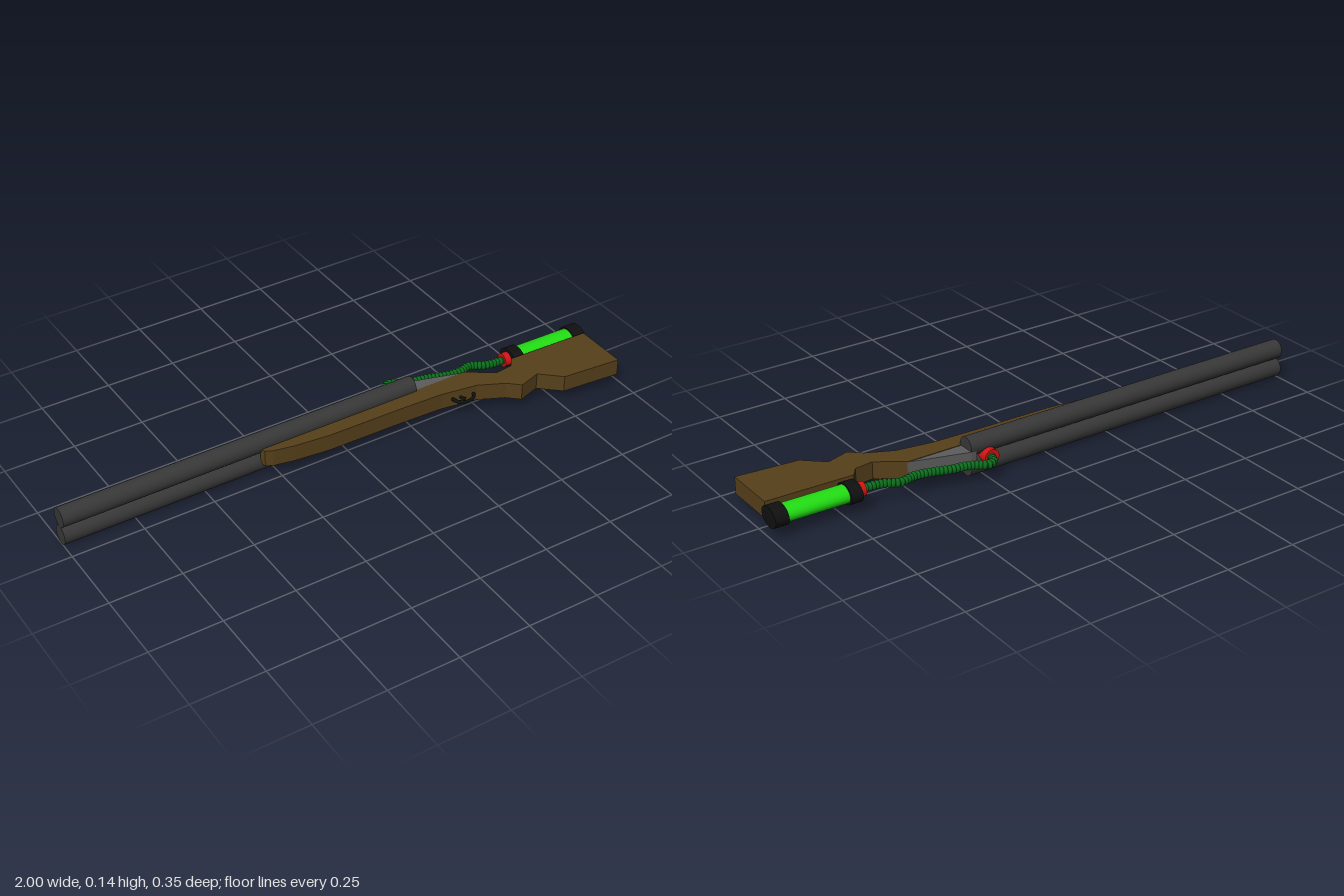
import * as THREE from 'three';

const MID = 0.068; // height of the model's plane of symmetry
const paint = (color, flatShading = false) => new THREE.MeshStandardMaterial({ color, flatShading });
const wood = paint(0x57401a, true);
const steel = paint(0x383838);
const receiverSteel = paint(0x5c5c5c, true);
const black = paint(0x101010);
const red = paint(0xd01414);
const green = paint(0x22dd14);
const hoseGreen = paint(0x0c6a1c);

export function createModel() {
  const model = new THREE.Group();

  function add(name, geometry, material, parent = model) {
    const mesh = new THREE.Mesh(geometry, material);
    mesh.name = name;
    parent.add(mesh);
    return mesh;
  }

  // Flat plate: outline in (x, z), thickness centred on MID along y
  function plate(points, thickness) {
    const shape = new THREE.Shape(points.map(([x, z]) => new THREE.Vector2(x, z)));
    return new THREE.ExtrudeGeometry(shape, { depth: thickness, bevelEnabled: false })
      .rotateX(Math.PI / 2)
      .translate(0, MID + thickness / 2, 0);
  }

  // Elliptical cylinder along x
  function rod(x0, x1, ry, rz, y, z) {
    return new THREE.CylinderGeometry(1, 1, x1 - x0, 32)
      .rotateZ(Math.PI / 2)
      .scale(1, ry, rz)
      .translate((x0 + x1) / 2, y, z);
  }

  // Wooden stock, from fore-end to butt
  add('stock', plate([
    [-0.30, -0.05], [-0.295, -0.03], [-0.27, -0.018], [-0.2, -0.004], [-0.075, 0.009],
    [0.2, 0.012], [0.36, 0.017], [0.49, 0.037], [0.58, 0.08], [0.62, 0.117],
    [0.7, 0.092], [0.77, 0.155], [0.985, 0.173], [0.985, -0.02], [0.68, -0.028],
    [0.655, 0.005], [0.59, 0.013], [0.497, -0.05],
  ], 0.06), wood);

  // Sloping receiver behind the barrels
  add('receiver', plate([[0.28, -0.108], [0.3, -0.108], [0.5, -0.049], [0.495, -0.04], [0.28, -0.04]], 0.056), receiverSteel);

  // Side-by-side barrels
  for (const side of [-1, 1]) {
    add(side > 0 ? 'upperBarrel' : 'lowerBarrel',
      rod(-1, 0.3, 0.034, 0.033, MID + side * 0.034, -0.076), steel);
  }

  // Trigger guard and trigger
  add('triggerGuard', new THREE.TorusGeometry(0.037, 0.006, 8, 32)
    .rotateX(Math.PI / 2).scale(1.05, 1, 0.9).translate(0.44, MID, 0.028), black);
  const triggerPath = new THREE.CatmullRomCurve3([
    new THREE.Vector3(0.435, MID, 0.018), new THREE.Vector3(0.43, MID, 0.034), new THREE.Vector3(0.44, MID, 0.047),
  ]);
  add('trigger', new THREE.TubeGeometry(triggerPath, 10, 0.005, 8), black);

  // Gas tank on top of the butt, tipped slightly
  const tank = new THREE.Group();
  tank.name = 'tank';
  tank.position.set(0.85, MID, -0.066);
  tank.rotation.y = -0.02;
  model.add(tank);
  add('tankBody', rod(-0.13, 0.12, 0.029, 0.037, 0, 0), green, tank);
  add('tankFrontCap', rod(-0.153, -0.112, 0.034, 0.047, 0, 0), black, tank);
  add('tankRearCap', rod(0.1, 0.146, 0.034, 0.047, 0, 0), black, tank);
  add('tankConnector', rod(-0.176, -0.15, 0.024, 0.025, 0, -0.002), red, tank);

  // Red fitting on the barrels
  add('barrelFitting', new THREE.CylinderGeometry(0.027, 0.027, 0.04, 24)
    .rotateX(Math.PI / 2).translate(0.235, MID, -0.109), red);

  // Ribbed hose from the fitting to the tank
  const hosePath = new THREE.CatmullRomCurve3([
    [0.237, -0.122], [0.248, -0.153], [0.272, -0.163], [0.298, -0.148], [0.33, -0.133],
    [0.39, -0.122], [0.46, -0.099], [0.51, -0.094], [0.56, -0.103], [0.61, -0.078], [0.685, -0.069],
  ].map(([x, z]) => new THREE.Vector3(x, MID, z)));
  const hose = new THREE.Group();
  hose.name = 'hose';
  model.add(hose);
  add('hoseCore', new THREE.TubeGeometry(hosePath, 80, 0.011, 12), hoseGreen, hose);
  const ribGeometry = new THREE.SphereGeometry(0.015, 14, 10).scale(1, 1, 0.65);
  const ribs = 38;
  for (let i = 0; i < ribs; i++) {
    const t = (i + 0.5) / ribs;
    const rib = add('hoseRib', ribGeometry, hoseGreen, hose);
    rib.position.copy(hosePath.getPointAt(t));
    rib.lookAt(rib.position.clone().add(hosePath.getTangentAt(t)));
  }

  return model;
}
